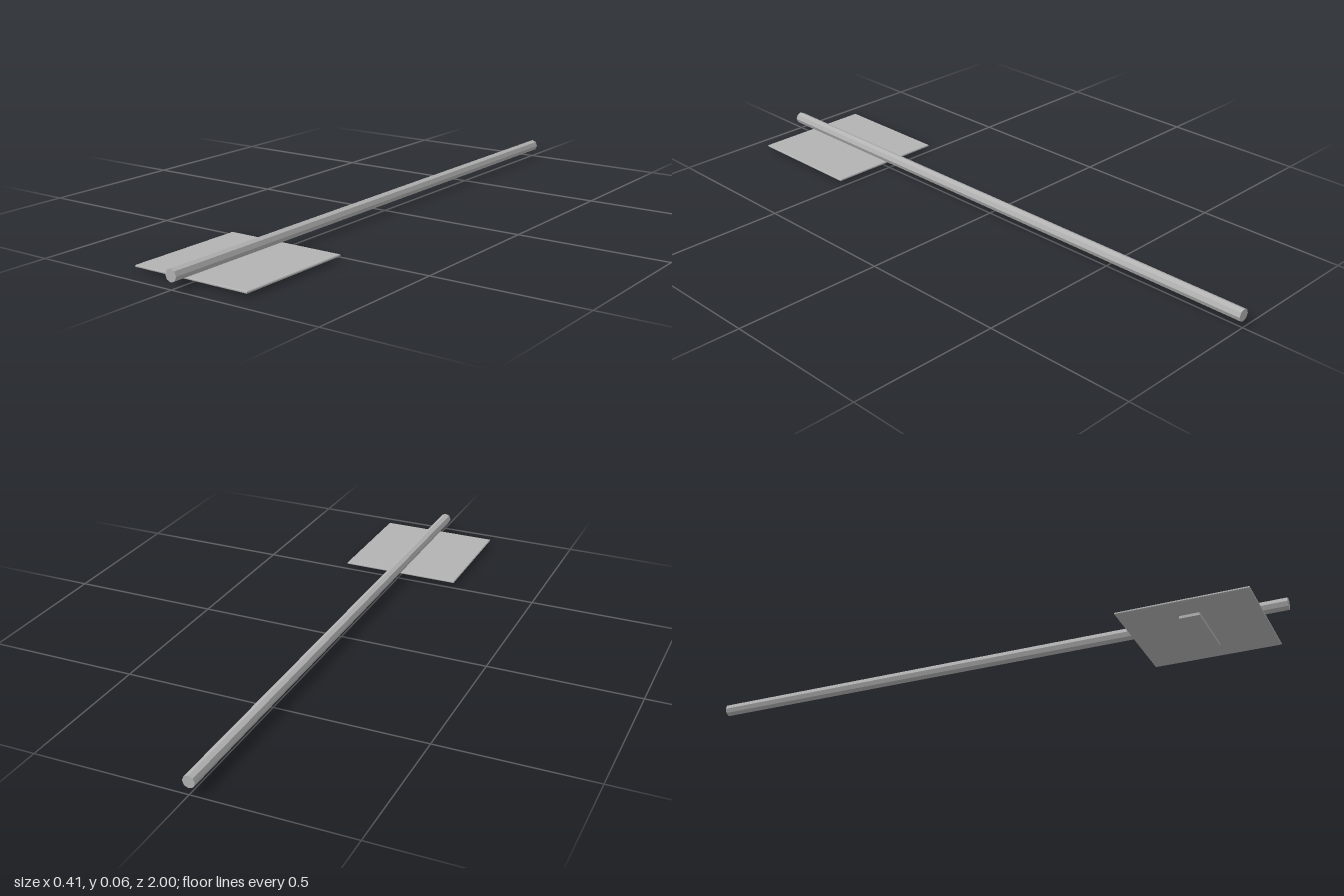
import * as THREE from 'three';

export function createModel() {
  const group = new THREE.Group();
  const grey = new THREE.MeshStandardMaterial({ color: 0xb2b2b2, flatShading: true });
  grey.name = 'grey metal';

  const add = (name, geometry, x, y, z) => {
    const mesh = new THREE.Mesh(geometry, grey);
    mesh.name = name;
    mesh.position.set(x, y, z);
    group.add(mesh);
  };

  const plateZ = 0.724;

  // Octagonal pole lying along z, with its corners on the axes
  add('pole', new THREE.CylinderGeometry(0.02, 0.02, 2, 8).rotateX(Math.PI / 2), 0, 0.041, 0);

  // Thin square sign plate with a slight chamfer round its edges
  const bevel = 0.002;
  const half = 0.206 - bevel;
  const outline = new THREE.Shape([
    new THREE.Vector2(-half, -half),
    new THREE.Vector2(half, -half),
    new THREE.Vector2(half, half),
    new THREE.Vector2(-half, half),
  ]);
  const plate = new THREE.ExtrudeGeometry(outline, {
    depth: 0.003, bevelThickness: bevel, bevelSize: bevel, bevelSegments: 1,
  });
  plate.rotateX(-Math.PI / 2).center();
  add('signPlate', plate, 0, 0.0125, plateZ);

  // Raised bar on the underside of the plate
  add('signBar', new THREE.BoxGeometry(0.234, 0.0095, 0.064), 0, 0.00475, plateZ);

  return group;
}
